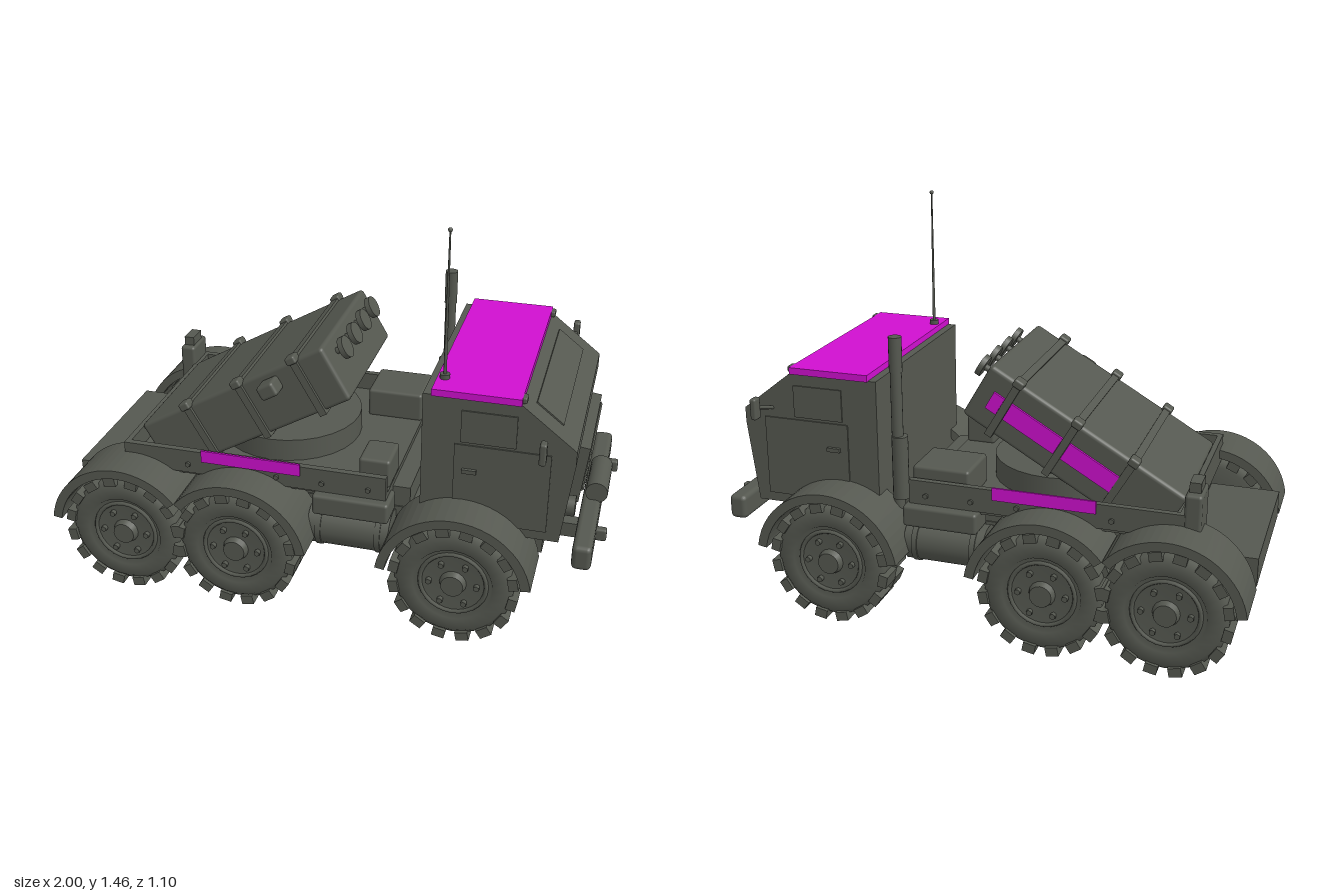
import * as THREE from 'three';
import { RoundedBoxGeometry } from 'three/addons/geometries/RoundedBoxGeometry.js';

const bodyMat = new THREE.MeshStandardMaterial({ color: 0x555850 });
bodyMat.name = 'olive grey';
const markMat = new THREE.MeshStandardMaterial({ color: 0xd010d0 });
markMat.name = 'magenta marking';

function add(parent, name, geo, x, y, z, mat = bodyMat) {
  const m = new THREE.Mesh(geo, mat);
  m.name = name;
  m.position.set(x, y, z);
  parent.add(m);
  return m;
}
// box given by its min and max corners
function box(parent, name, x0, x1, y0, y1, z0, z1, mat = bodyMat) {
  return add(parent, name, new THREE.BoxGeometry(x1 - x0, y1 - y0, z1 - z0),
    (x0 + x1) / 2, (y0 + y1) / 2, (z0 + z1) / 2, mat);
}
function rounded(parent, name, x0, x1, y0, y1, z0, z1, r = 0.012) {
  return add(parent, name, new RoundedBoxGeometry(x1 - x0, y1 - y0, z1 - z0, 2, r),
    (x0 + x1) / 2, (y0 + y1) / 2, (z0 + z1) / 2);
}
// cylinder along a chosen axis
function cyl(parent, name, axis, r, len, x, y, z, seg = 20, r2 = r) {
  const g = new THREE.CylinderGeometry(r2, r, len, seg);
  if (axis === 'x') g.rotateZ(-Math.PI / 2);
  if (axis === 'z') g.rotateX(Math.PI / 2);
  return add(parent, name, g, x, y, z);
}
function rod(parent, name, a, b, r) {
  const p = new THREE.Vector3(...a), q = new THREE.Vector3(...b);
  const d = q.clone().sub(p);
  const m = add(parent, name, new THREE.CylinderGeometry(r, r, d.length(), 8), 0, 0, 0);
  m.position.copy(p).addScaledVector(d, 0.5);
  m.quaternion.setFromUnitVectors(new THREE.Vector3(0, 1, 0), d.normalize());
}
function extrude(shape, depth) {
  return new THREE.ExtrudeGeometry(shape, { depth, bevelEnabled: false, curveSegments: 12 });
}

// wheel with outer face towards +z, centred on its width
function makeWheel() {
  const w = new THREE.Group();
  w.name = 'wheel';
  const pts = [[0.1, -0.08], [0.19, -0.08], [0.212, -0.06], [0.212, 0.06], [0.19, 0.08], [0.142, 0.08], [0.135, 0.066], [0, 0.066]];
  const tyre = new THREE.LatheGeometry(pts.map(p => new THREE.Vector2(...p)), 28);
  tyre.rotateX(Math.PI / 2);
  add(w, 'tyre', tyre, 0, 0, 0);
  cyl(w, 'innerHub', 'z', 0.11, 0.03, 0, 0, -0.07);
  add(w, 'rimRing', new THREE.TorusGeometry(0.118, 0.008, 6, 28), 0, 0, 0.068);
  cyl(w, 'hub', 'z', 0.05, 0.03, 0, 0, 0.075, 16, 0.04);
  for (let i = 0; i < 6; i++) {
    const a = (i / 6) * Math.PI * 2;
    cyl(w, 'wheelBolt', 'z', 0.011, 0.022, Math.cos(a) * 0.085, Math.sin(a) * 0.085, 0.072, 6);
  }
  // staggered tread lugs
  for (let i = 0; i < 32; i++) {
    const a = (i / 32) * Math.PI * 2 - Math.PI / 2;
    const lug = add(w, 'treadLug', new THREE.BoxGeometry(0.034, 0.046, 0.085),
      Math.cos(a) * 0.214, Math.sin(a) * 0.214, i % 2 ? 0.043 : -0.043);
    lug.rotation.z = a;
  }
  return w;
}

// wheel arch in side view, between two angles
function archGeo(a0, a1) {
  const s = new THREE.Shape();
  s.absarc(0, 0, 0.276, a0, a1, false);
  s.absarc(0, 0, 0.242, a1, a0, true);
  return extrude(s, 0.22);
}

export function createModel() {
  const g = new THREE.Group();
  g.name = 'rocketTruck';
  const axles = [-0.73, -0.297, 0.505], sides = [1, -1];

  // chassis
  box(g, 'chassis', -1, 0.783, 0.27, 0.375, -0.305, 0.305);
  box(g, 'subframe', -0.74, 0.3, 0.375, 0.455, -0.3, 0.3);

  // axles, wheels and mudguards
  const end = 0.15, meet = 0.672;
  const spans = [[meet, Math.PI - end], [end, Math.PI - meet], [end, Math.PI - end]];
  axles.forEach((x, i) => {
    cyl(g, 'axle', 'z', 0.03, 0.74, x, 0.23, 0, 12);
    rounded(g, 'differential', x - 0.07, x + 0.07, 0.165, 0.275, -0.065, 0.065, 0.025);
    for (const s of sides) {
      const w = makeWheel();
      w.position.set(x, 0.23, s * 0.447);
      if (s < 0) w.rotation.y = Math.PI;
      g.add(w);
      add(g, 'mudguard', archGeo(...spans[i]), x, 0.23, s > 0 ? 0.332 : -0.552);
      box(g, 'leafSpring', x - 0.14, x + 0.14, 0.25, 0.275, s * 0.25 - 0.025, s * 0.25 + 0.025);
    }
  });

  // fuel tanks with straps
  for (const s of sides) {
    cyl(g, 'fuelTank', 'x', 0.08, 0.3, 0.1, 0.3, s * 0.355);
    for (const x of [-0.01, 0.21]) cyl(g, 'tankStrap', 'x', 0.085, 0.02, x, 0.3, s * 0.355);
  }

  // bed
  box(g, 'bedFloor', -0.76, 0.235, 0.44, 0.475, -0.39, 0.39);
  box(g, 'bedTail', -0.76, -0.74, 0.455, 0.545, -0.4, 0.4);
  for (const s of sides) {
    box(g, 'bedRail', -0.76, 0.235, 0.455, 0.545, s * 0.395 - 0.012, s * 0.395 + 0.012);
    box(g, 'railMarking', -0.455, -0.08, 0.51, 0.557, s * 0.411 - 0.004, s * 0.411 + 0.004, markMat);
    for (let i = 0; i < 6; i++) cyl(g, 'railBolt', 'z', 0.01, 0.012, -0.68 + i * 0.17, 0.49, s * 0.41, 6);
    rounded(g, 'locker', -0.03, 0.25, 0.375, 0.455, s * 0.38 - 0.06, s * 0.38 + 0.06);
  }
  rounded(g, 'crate', 0.02, 0.235, 0.47, 0.585, -0.37, -0.17);
  rounded(g, 'smallCrate', 0.12, 0.235, 0.47, 0.58, 0.2, 0.35);
  cyl(g, 'turntable', 'y', 0.27, 0.09, -0.24, 0.515, 0, 28);
  rounded(g, 'rearPost', -0.815, -0.755, 0.45, 0.62, -0.41, -0.275);
  box(g, 'rearPostCap', -0.805, -0.765, 0.62, 0.655, -0.38, -0.3);

  // launcher, built along its own axis with the muzzle at x = 0
  const pod = new THREE.Group();
  pod.name = 'launcher';
  pod.position.set(0.02, 0.867, 0);
  pod.rotation.z = Math.PI / 6;
  g.add(pod);
  rounded(pod, 'launcherBox', -0.82, 0, -0.11, 0.11, -0.285, 0.285, 0.015);
  for (const u of [-0.12, -0.365, -0.6]) {
    box(pod, 'launcherBand', u - 0.014, u + 0.014, -0.12, 0.12, -0.297, 0.297);
    for (const s of sides) rounded(pod, 'bandClasp', u - 0.02, u + 0.02, 0.1, 0.13, s * 0.285 - 0.025, s * 0.285 + 0.025, 0.008);
  }
  for (const z of [-0.19, -0.065, 0.06, 0.185]) {
    cyl(pod, 'tubeCover', 'x', 0.041, 0.02, 0.036, 0.05, z);
    cyl(pod, 'tubeStem', 'x', 0.012, 0.04, 0.015, 0.05, z, 10);
  }
  rounded(pod, 'sightBox', -0.275, -0.205, 0.03, 0.085, 0.28, 0.355);
  for (const [a, b] of [[-0.6, -0.38], [-0.35, -0.135], [-0.105, -0.06]])
    box(pod, 'launcherMarking', a, b, -0.035, 0.035, -0.294, -0.285, markMat);
  // cradle under the launcher
  for (const s of sides) box(g, 'cradleArm', -0.36, -0.24, 0.5, 0.66, s * 0.2 - 0.03, s * 0.2 + 0.03);

  // cab from its side profile
  const cab = new THREE.Shape([[0.355, 0.385], [0.845, 0.385], [0.882, 0.69], [0.882, 0.745], [0.69, 0.895], [0.355, 0.895]]
    .map(p => new THREE.Vector2(...p)));
  add(g, 'cab', extrude(cab, 0.796), 0, 0, -0.398);
  box(g, 'roofPanel', 0.385, 0.69, 0.893, 0.918, -0.405, 0.405, markMat);
  for (const z of [-0.37, 0.37]) rounded(g, 'roofLamp', 0.685, 0.705, 0.895, 0.918, z - 0.02, z + 0.02, 0.006);
  const slope = Math.atan2(0.15, 0.192);
  const screen = add(g, 'windscreen', new THREE.BoxGeometry(0.12, 0.008, 0.62), 0.775, 0.83, 0);
  screen.rotation.z = -slope;
  for (const s of sides) {
    box(g, 'door', 0.47, 0.8, 0.42, 0.72, s * 0.4 - 0.003, s * 0.4 + 0.003);
    box(g, 'sideWindow', 0.49, 0.68, 0.73, 0.85, s * 0.4 - 0.003, s * 0.4 + 0.003);
    box(g, 'doorHandle', 0.5, 0.55, 0.615, 0.63, s * 0.405 - 0.01, s * 0.405 + 0.01);
    // mirrors
    rod(g, 'mirrorArm', [0.77, 0.755, s * 0.395], [0.78, 0.785, s * 0.49], 0.007);
    rounded(g, 'mirror', 0.768, 0.792, 0.745, 0.825, s * 0.502 - 0.02, s * 0.502 + 0.02, 0.008);
    // headlights
    cyl(g, 'headlight', 'x', 0.037, 0.04, 0.865, 0.465, s * 0.278);
  }

  // grille tilted with the nose
  const grille = new THREE.Group();
  grille.name = 'grille';
  grille.position.set(0.872, 0.557, 0);
  grille.rotation.z = -0.12;
  g.add(grille);
  box(grille, 'grilleBack', -0.02, 0.01, -0.105, 0.105, -0.2, 0.2);
  for (const s of sides) {
    box(grille, 'grilleSide', -0.01, 0.03, -0.11, 0.11, s * 0.205 - 0.01, s * 0.205 + 0.01);
    box(grille, 'grilleEdge', -0.01, 0.03, s * 0.102 - 0.008, s * 0.102 + 0.008, -0.21, 0.21);
  }
  for (let i = 0; i < 6; i++) {
    const slat = box(grille, 'grilleSlat', 0.005, 0.04, -0.005, 0.005, -0.195, 0.195);
    slat.position.y = -0.075 + i * 0.03;
    slat.rotation.z = 0.7;
  }

  // bumper, winch and tow hooks
  rounded(g, 'bumper', 0.895, 0.963, 0.302, 0.395, -0.43, 0.43, 0.018);
  cyl(g, 'winchDrum', 'z', 0.04, 0.21, 0.945, 0.425, 0);
  for (const s of sides) {
    box(g, 'bumperBracket', 0.77, 0.9, 0.315, 0.37, s * 0.22 - 0.025, s * 0.22 + 0.025);
    rounded(g, 'towHook', 0.955, 1, 0.325, 0.372, s * 0.248 - 0.015, s * 0.248 + 0.015, 0.008);
  }

  // exhaust stack
  cyl(g, 'exhaustPipe', 'y', 0.021, 0.65, 0.303, 0.725, -0.337, 16);
  cyl(g, 'exhaustMuffler', 'y', 0.03, 0.24, 0.295, 0.56, -0.337, 16);
  cyl(g, 'exhaustTip', 'y', 0.024, 0.13, 0.303, 0.985, -0.337, 16);

  // antenna
  cyl(g, 'antennaBase', 'y', 0.018, 0.025, 0.412, 0.922, 0.31, 12);
  cyl(g, 'antennaRod', 'y', 0.006, 0.52, 0.412, 1.185, 0.31, 8, 0.003);
  add(g, 'antennaTip', new THREE.SphereGeometry(0.008, 10, 8), 0.412, 1.447, 0.31);

  return g;
}
